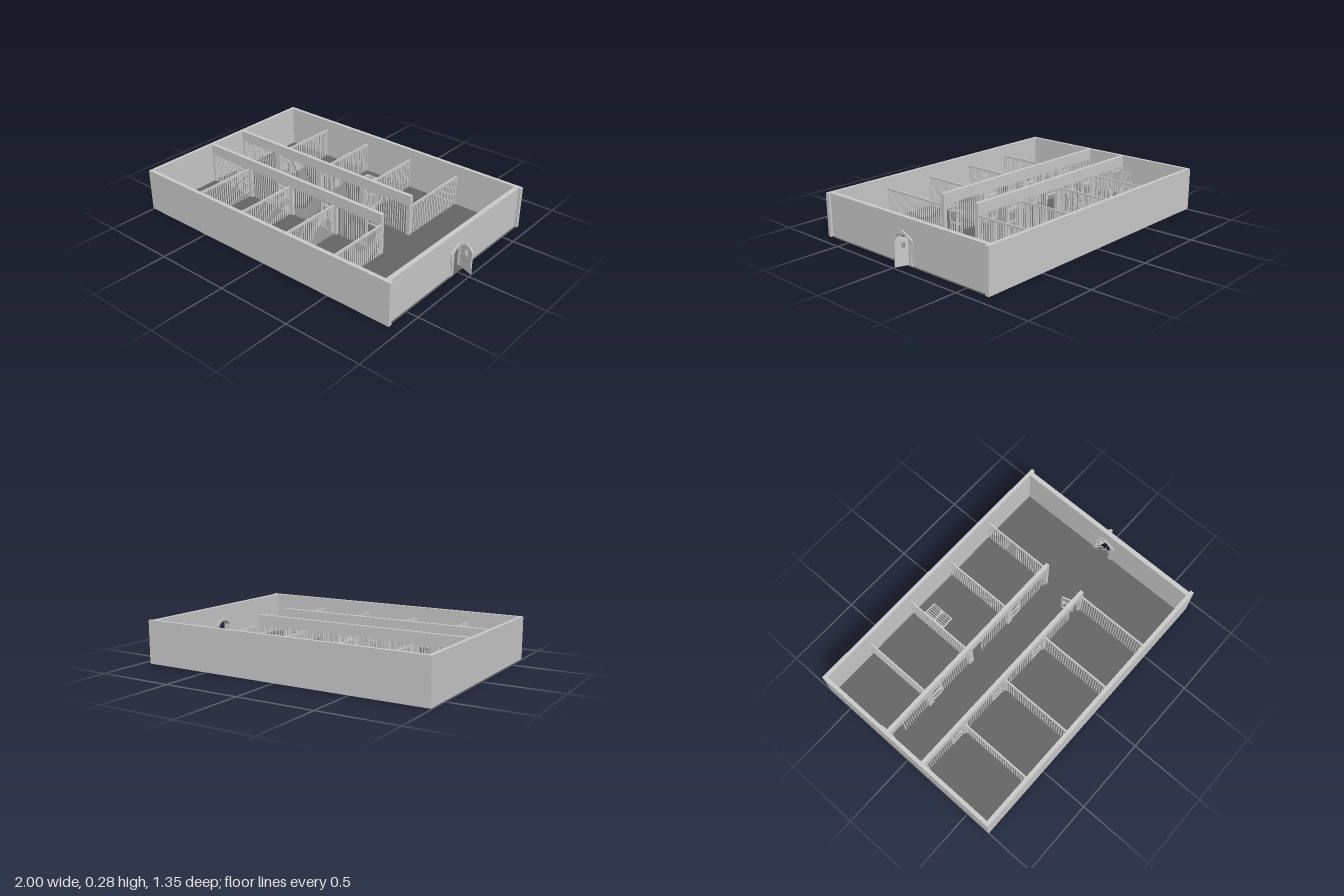
import * as THREE from 'three';
import { mergeGeometries } from 'three/addons/utils/BufferGeometryUtils.js';

const grey = new THREE.MeshStandardMaterial({ color: 0xcccccc, flatShading: true });
const dark = new THREE.MeshStandardMaterial({ color: 0x656565, flatShading: true });
const FLOOR = 0.008, TOP = 0.283, RAIL = 0.21;

// Box geometry from its two extreme corners
function box(x0, y0, z0, x1, y1, z1) {
  return new THREE.BoxGeometry(x1 - x0, y1 - y0, z1 - z0)
    .translate((x0 + x1) / 2, (y0 + y1) / 2, (z0 + z1) / 2);
}

function bar(x, z, y0, y1, r = 0.0035) {
  return new THREE.CylinderGeometry(r, r, y1 - y0, 6).translate(x, (y0 + y1) / 2, z);
}

function add(parent, name, geometries, material = grey) {
  const list = [].concat(geometries).map((g) => (g.index ? g.toNonIndexed() : g));
  const mesh = new THREE.Mesh(list.length > 1 ? mergeGeometries(list) : list[0], material);
  mesh.name = name;
  parent.add(mesh);
  return mesh;
}

// Flat outline pushed out by a depth
function slab(shape, depth) {
  return new THREE.ExtrudeGeometry(shape, { depth, bevelEnabled: false });
}

function shapeOf(points) {
  return new THREE.Shape(points.map(([x, y]) => new THREE.Vector2(x, y)));
}

// Mirrors the right half of an outline to the left
function mirrored(half) {
  return [...half, ...half.slice().reverse().filter(([x]) => x > 0).map(([x, y]) => [-x, y])];
}

// Barred cell door, hinge at the origin, running along +x
function cellDoor(name) {
  const door = new THREE.Group();
  door.name = name;
  const w = 0.086, h = 0.165, t = 0.004;
  const parts = [
    box(0, 0, -t, 0.006, h, t), box(w - 0.006, 0, -t, w, h, t),
    box(0, 0, -t, w, 0.006, t), box(0, h - 0.006, -t, w, h, t),
    box(0, 0.078, -t, w, 0.086, t),
  ];
  for (let i = 1; i < 6; i++) parts.push(bar((i * w) / 6, 0, 0, h, 0.003));
  add(door, 'cellDoorBars', parts);
  add(door, 'cellDoorLock', box(w - 0.02, 0.074, -0.008, w - 0.004, 0.092, 0.008));
  return door;
}

// One row of four cells; side is the sign of z
function cellRow(side, dividers) {
  const row = new THREE.Group();
  row.name = side > 0 ? 'leftCellRow' : 'rightCellRow';
  const zc = side * 0.1425;
  const edges = [-0.98, ...dividers];
  add(row, 'corridorBeam', box(-0.98, RAIL, zc - 0.0125, 0.478, TOP, zc + 0.0125));

  edges.forEach((x, i) => {
    // pillar under the beam
    const a = Math.max(x - 0.02, -0.98), b = Math.min(x + 0.02, 0.478);
    add(row, 'pillar', box(a, FLOOR, zc - 0.0125, b, RAIL, zc + 0.0125));
    if (i === 0) return;

    // barred partition between cells
    const bars = [box(x - 0.005, RAIL - 0.01, Math.min(side * 0.15, side * 0.652),
      x + 0.005, RAIL + 0.005, Math.max(side * 0.15, side * 0.652))];
    for (let k = 0; k < 27; k++) bars.push(bar(x, side * (0.165 + k * 0.0185), 0, RAIL, 0.0045));
    add(row, 'partitionBars', bars);

    // barred front with a doorway at one end
    const x0 = edges[i - 1] + 0.02, x1 = x - 0.02;
    const doorX = side < 0 ? x0 : x1 - 0.09;
    const front = [
      box(doorX, 0.178, zc - 0.005, doorX + 0.09, 0.186, zc + 0.005),
      box(side < 0 ? doorX + 0.09 : doorX - 0.006, FLOOR, zc - 0.005,
        side < 0 ? doorX + 0.096 : doorX, RAIL, zc + 0.005),
    ];
    for (let bx = x0 + 0.009; bx < x1; bx += 0.0175) {
      const overDoor = bx > doorX - 0.004 && bx < doorX + 0.094;
      front.push(bar(bx, zc, overDoor ? 0.18 : FLOOR, RAIL));
    }
    add(row, 'cellFrontBars', front);

    // doors: closed, swung open, or fallen flat on the floor
    const door = cellDoor('cellDoor');
    door.position.set(doorX + 0.002, FLOOR + 0.002, zc);
    if (side < 0 && i === 1) {
      door.position.x = -0.96;
      door.rotation.y = 1.67;
    } else if (side < 0 && i === 3) {
      door.position.set(-0.22, FLOOR + 0.006, -0.428);
      door.rotation.x = -Math.PI / 2;
    } else if (side > 0 && i === 4) {
      door.position.set(0.43, FLOOR + 0.002, 0.13);
      door.rotation.y = Math.PI - 1.27;
    }
    row.add(door);
  });
  return row;
}

// Outside entrance: wall with doorway, carved surround and open leaf
function entrance() {
  const group = new THREE.Group();
  group.name = 'entrance';
  const opening = mirrored([[0.054, FLOOR], [0.054, 0.15], [0.045, 0.166], [0.025, 0.176], [0, 0.18]]);
  const wall = shapeOf([[-0.65, 0.006], [0.65, 0.006], [0.65, TOP], [-0.65, TOP]]);
  wall.holes.push(new THREE.Path(opening.map(([x, y]) => new THREE.Vector2(x, y))));
  add(group, 'entranceWall', slab(wall, 0.03).rotateY(Math.PI / 2).translate(0.889, 0, 0));

  const surround = shapeOf(mirrored([[0.079, 0.007], [0.074, 0.035], [0.075, 0.08], [0.081, 0.12],
    [0.086, 0.16], [0.06, 0.174], [0.04, 0.188], [0, 0.203]]));
  surround.holes.push(wall.holes[0]);
  add(group, 'doorSurround', slab(surround, 0.045).rotateY(Math.PI / 2).translate(0.882, 0, 0));

  // leaf with pointed top and a small barred window
  const leaf = new THREE.Group();
  leaf.name = 'entranceDoor';
  const panel = shapeOf([[0, 0], [0.097, 0], [0.097, 0.145], [0.088, 0.158], [0.07, 0.166],
    [0.0485, 0.17], [0.027, 0.166], [0.009, 0.158], [0, 0.145]]);
  panel.holes.push(new THREE.Path([[0.034, 0.105], [0.063, 0.105], [0.063, 0.138], [0.034, 0.138]]
    .map(([x, y]) => new THREE.Vector2(x, y))));
  add(leaf, 'doorPanel', slab(panel, 0.008).translate(0, 0, -0.004));
  add(leaf, 'windowBars', [0.041, 0.0485, 0.056].map((x) => bar(x, 0, 0.105, 0.138, 0.0015)));
  add(leaf, 'doorStraps', [0.03, 0.09, 0.146].map((y) => box(0, y, -0.0055, 0.08, y + 0.008, 0.0055)));
  for (const s of [-1, 1]) {
    add(leaf, 'doorRing', new THREE.TorusGeometry(0.006, 0.0013, 6, 12).translate(0.086, 0.065, s * 0.006));
  }
  leaf.position.set(0.908, FLOOR + 0.001, -0.052);
  leaf.rotation.y = -0.34;
  group.add(leaf);
  return group;
}

export function createModel() {
  const model = new THREE.Group();
  model.name = 'cellBlock';
  add(model, 'floor', box(-0.99, 0.004, -0.665, 0.928, FLOOR, 0.665), dark);
  add(model, 'backEndWall', box(-1, 0.005, -0.65, -0.976, TOP, 0.65));
  for (const s of [-1, 1]) {
    const z0 = Math.min(s * 0.65, s * 0.675);
    add(model, 'sideWall', box(-1, 0.005, z0, 0.935, TOP, z0 + 0.025));
  }
  model.add(cellRow(1, [-0.63, -0.26, 0.11, 0.474]));
  model.add(cellRow(-1, [-0.64, -0.27, 0.10, 0.472]));
  model.add(entrance());
  return model;
}
